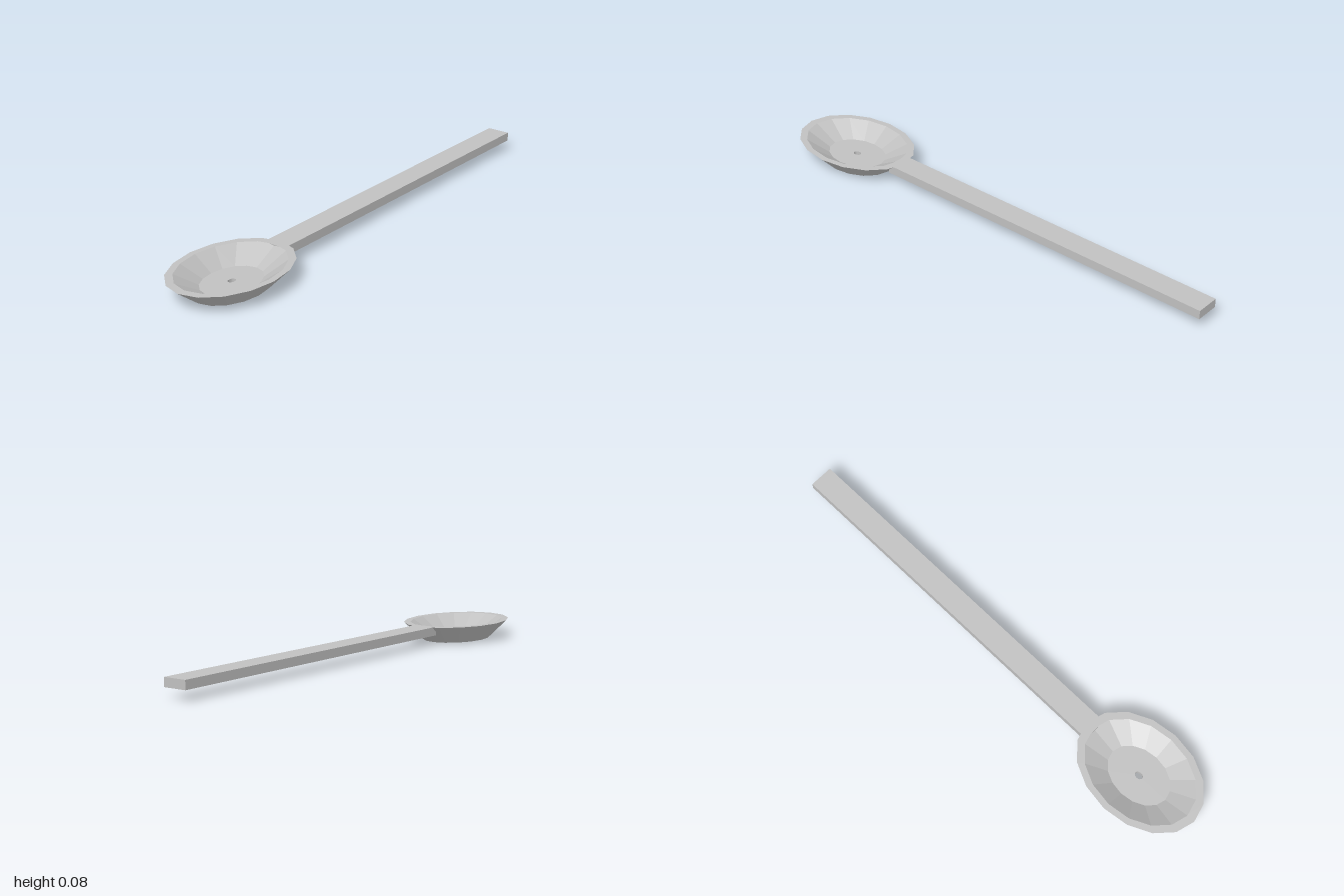
import * as THREE from 'three';

export function createModel() {
  const model = new THREE.Group();
  model.name = 'spoon';
  const metal = new THREE.MeshStandardMaterial({ color: 0xc0c0c0, flatShading: true });
  metal.name = 'grey metal';

  // Oval bowl: closed wall section with a small drain hole in the floor
  const section = [
    [0.017, 0], [0.172, 0], [0.27, 0.075], [0.237, 0.075],
    [0.134, 0.021], [0.017, 0.021], [0.017, 0],
  ].map(([r, y]) => new THREE.Vector2(r, y));
  const bowl = new THREE.Mesh(new THREE.LatheGeometry(section, 16), metal);
  bowl.name = 'bowl';
  bowl.scale.z = 0.725;
  bowl.position.x = -0.73;
  model.add(bowl);

  // Straight flat handle, its end just reaching into the bowl
  const handle = new THREE.Mesh(new THREE.BoxGeometry(1.5, 0.035, 0.096), metal);
  handle.name = 'handle';
  handle.position.set(0.25, 0.0575, 0);
  model.add(handle);

  return model;
}
